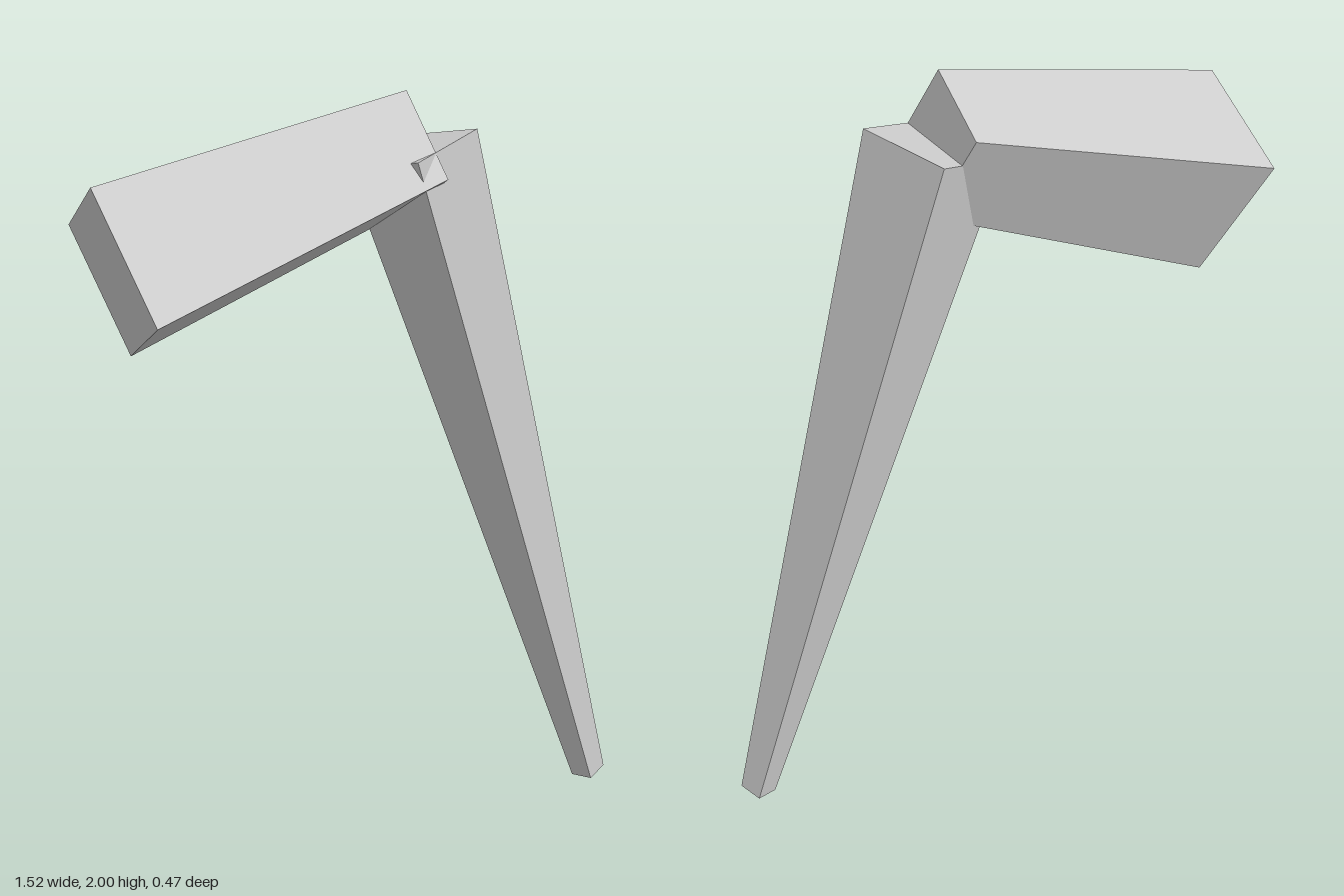
import * as THREE from 'three';

const grey = new THREE.MeshStandardMaterial({ color: 0xcccccc, flatShading: true });
grey.name = 'grey';

// Tapered square beam from start to end; radii reach the corners, and one corner points along diagonal
function beam(name, start, end, startRadius, endRadius, diagonal) {
  const along = end.clone().sub(start);
  const length = along.length();
  const y = along.normalize();
  const z = diagonal.clone().addScaledVector(y, -diagonal.dot(y)).normalize();
  const x = new THREE.Vector3().crossVectors(y, z);

  const mesh = new THREE.Mesh(new THREE.CylinderGeometry(endRadius, startRadius, length, 4), grey);
  mesh.name = name;
  mesh.quaternion.setFromRotationMatrix(new THREE.Matrix4().makeBasis(x, y, z));
  mesh.position.copy(start).add(end).multiplyScalar(0.5);
  return mesh;
}

export function createModel() {
  const group = new THREE.Group();
  group.name = 'jointedLeg';

  const hip = new THREE.Vector3(-0.685, 1.575, -0.003);
  const knee = new THREE.Vector3(0.126, 1.848, -0.003);
  const foot = new THREE.Vector3(0.717, 0.018, -0.003);

  // Thick upper segment and slender lower segment share the knee
  group.add(beam('upperLeg', hip, knee, 0.258, 0.174, new THREE.Vector3(-0.15, 0.45, 0.205)));
  group.add(beam('lowerLeg', knee, foot, 0.174, 0.048, new THREE.Vector3(0.31, 0.1, 0.135)));
  return group;
}
